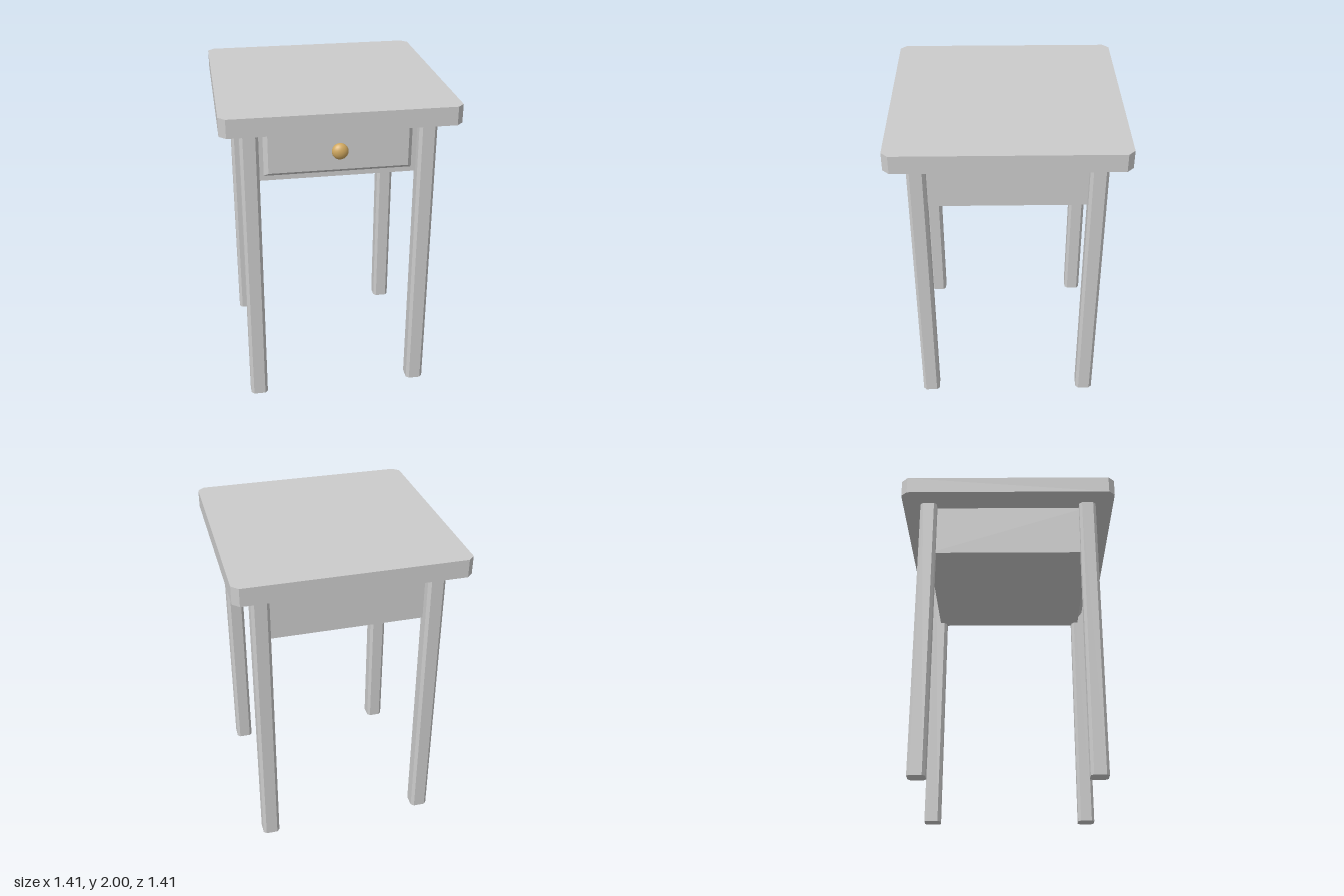
import * as THREE from 'three';

const grey = new THREE.MeshStandardMaterial({ color: 0xcccccc, flatShading: true });
const brass = new THREE.MeshStandardMaterial({ color: 0xd0a860 });

// Square prism standing on y = 0 with its four vertical edges cut off
function chamferedPrism(half, cut, height) {
  const shape = new THREE.Shape();
  const i = half - cut;
  shape.setFromPoints([
    [half, -i], [half, i], [i, half], [-i, half],
    [-half, i], [-half, -i], [-i, -half], [i, -half],
  ].map(([x, y]) => new THREE.Vector2(x, y)));
  return new THREE.ExtrudeGeometry(shape, { depth: height, bevelEnabled: false }).rotateX(-Math.PI / 2);
}

export function createModel() {
  const table = new THREE.Group();
  table.name = 'sideTable';

  function add(name, geometry, material, x, y, z) {
    const mesh = new THREE.Mesh(geometry, material);
    mesh.name = name;
    mesh.position.set(x, y, z);
    table.add(mesh);
    return mesh;
  }

  // Top slab with clipped corners
  add('tableTop', chamferedPrism(0.705, 0.04, 0.113), grey, 0, 1.887, 0);

  // Four chamfered legs
  const legGeometry = chamferedPrism(0.055, 0.018, 1.887);
  for (const [side, x] of [['Left', 0.532], ['Right', -0.532]]) {
    add('front' + side + 'Leg', legGeometry, grey, x, 0, 0.532);
    add('back' + side + 'Leg', legGeometry, grey, x, 0, -0.532);
  }

  // Drawer case, its corners hidden inside the legs
  add('drawerCase', new THREE.BoxGeometry(1.045, 0.352, 1.045), grey, 0, 1.711, 0);

  // Raised drawer front with bevelled edges: the front face is pulled in
  const panel = new THREE.BoxGeometry(0.9, 0.3, 0.03);
  const p = panel.attributes.position;
  for (let i = 0; i < p.count; i++) {
    if (p.getZ(i) > 0) {
      p.setX(i, p.getX(i) - Math.sign(p.getX(i)) * 0.027);
      p.setY(i, p.getY(i) - Math.sign(p.getY(i)) * 0.025);
    }
  }
  panel.computeVertexNormals();
  add('drawerFront', panel, grey, 0, 1.714, 0.536);

  // Flattened round knob
  const knob = add('drawerKnob', new THREE.SphereGeometry(0.05, 24, 16), brass, 0, 1.72, 0.585);
  knob.scale.z = 0.72;

  return table;
}
